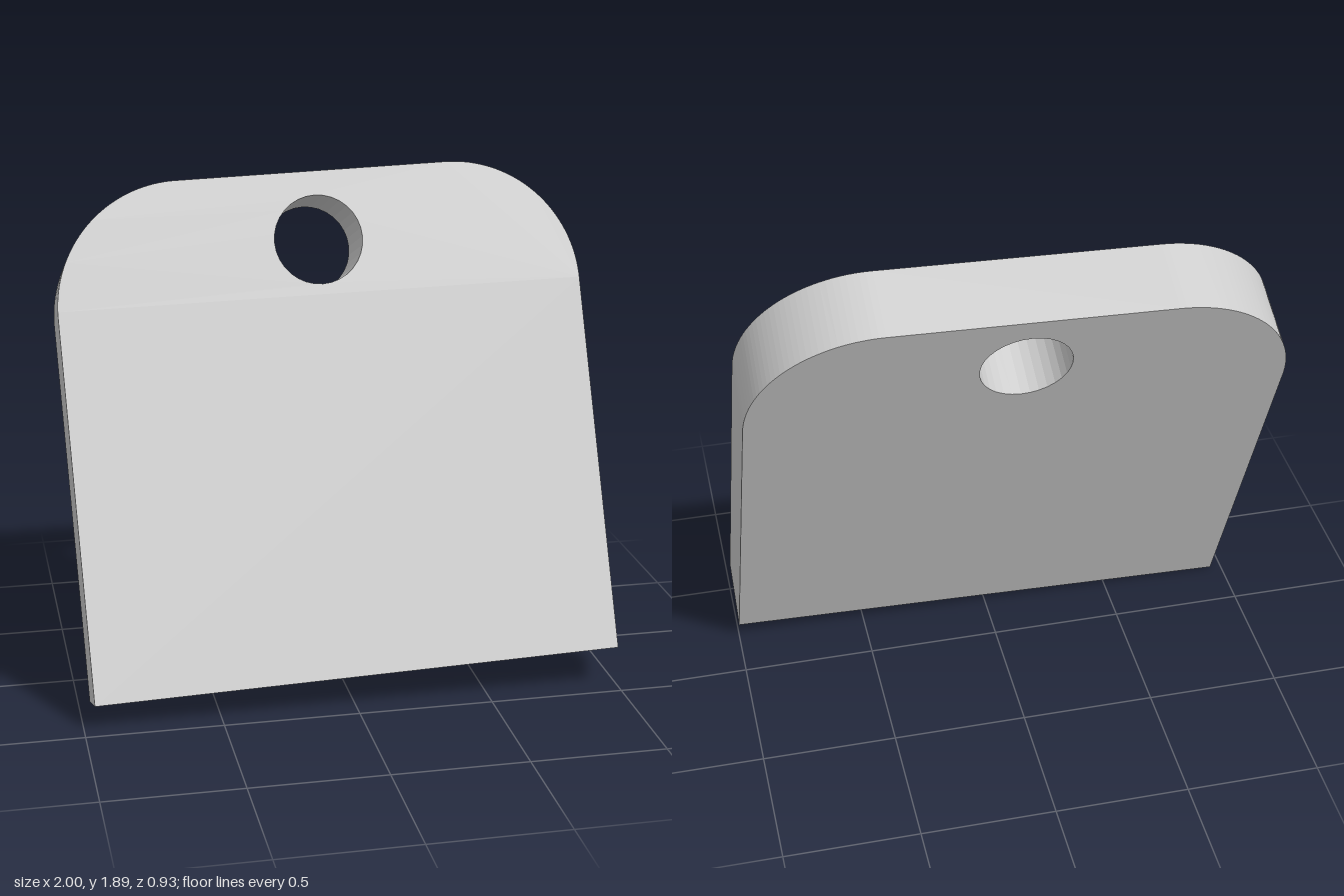
import * as THREE from 'three';

const W = 1.955, H = 1.866, T = 0.279;   // plate width, height, thickness
const CORNER = 0.47;                     // top corner radius
const BORE_R = 0.058, BORE_X = 0.84, BORE_DEPTH = 0.5;

const circle = (x, y, r) => new THREE.Path().absarc(x, y, r, 0, Math.PI * 2, true);

export function createModel() {
  const group = new THREE.Group();
  const material = new THREE.MeshStandardMaterial({ color: 0xcccccc, flatShading: true });
  const openMaterial = material.clone();
  openMaterial.side = THREE.DoubleSide;

  const add = (name, geometry, mat = material) => {
    const mesh = new THREE.Mesh(geometry, mat);
    mesh.name = name;
    group.add(mesh);
    return mesh;
  };

  // Plate with two rounded top corners and a through hole
  const outline = new THREE.Shape();
  outline.moveTo(-W / 2, 0).lineTo(W / 2, 0).lineTo(W / 2, H - CORNER);
  outline.absarc(W / 2 - CORNER, H - CORNER, CORNER, 0, Math.PI / 2, false);
  outline.absarc(-W / 2 + CORNER, H - CORNER, CORNER, Math.PI / 2, Math.PI, false);
  outline.closePath();
  outline.holes.push(circle(0, 1.611, 0.165));
  const plate = new THREE.ExtrudeGeometry(outline, { depth: T, bevelEnabled: false, curveSegments: 16 });
  plate.translate(0, 0, -T);

  // Leave the bottom edge open, so the drilled face can take its place
  const source = plate.getAttribute('position');
  const kept = [];
  for (let i = 0; i < source.count; i += 3) {
    const corners = [i, i + 1, i + 2];
    if (corners.every(k => Math.abs(source.getY(k)) < 1e-5)) continue;
    for (const k of corners) kept.push(source.getX(k), source.getY(k), source.getZ(k));
  }
  const body = new THREE.BufferGeometry();
  body.setAttribute('position', new THREE.Float32BufferAttribute(kept, 3));
  body.computeVertexNormals();
  add('plate', body);

  // Bottom face with two small openings
  const base = new THREE.Shape();
  base.moveTo(-W / 2, -T).lineTo(W / 2, -T).lineTo(W / 2, 0).lineTo(-W / 2, 0).closePath();
  for (const side of [-1, 1]) base.holes.push(circle(side * BORE_X, -T / 2, BORE_R));
  add('bottomFace', new THREE.ShapeGeometry(base, 24).rotateX(Math.PI / 2));

  // Blind bores running up from the bottom face
  const profile = [[BORE_R, 0], [BORE_R, BORE_DEPTH], [0, BORE_DEPTH]].map(p => new THREE.Vector2(...p));
  for (const side of [-1, 1]) {
    const bore = add(side < 0 ? 'rightBore' : 'leftBore', new THREE.LatheGeometry(profile, 24), openMaterial);
    bore.position.set(side * BORE_X, 0, -T / 2);
  }

  // Lean back, then roll slightly sideways
  group.rotation.set(-0.3645, 0, 0.0307, 'ZYX');
  group.position.set(0.017, 0.13, 0.4625);

  const model = new THREE.Group();
  model.name = 'tiltedPlate';
  group.name = 'drilledPlate';
  model.add(group);
  return model;
}
